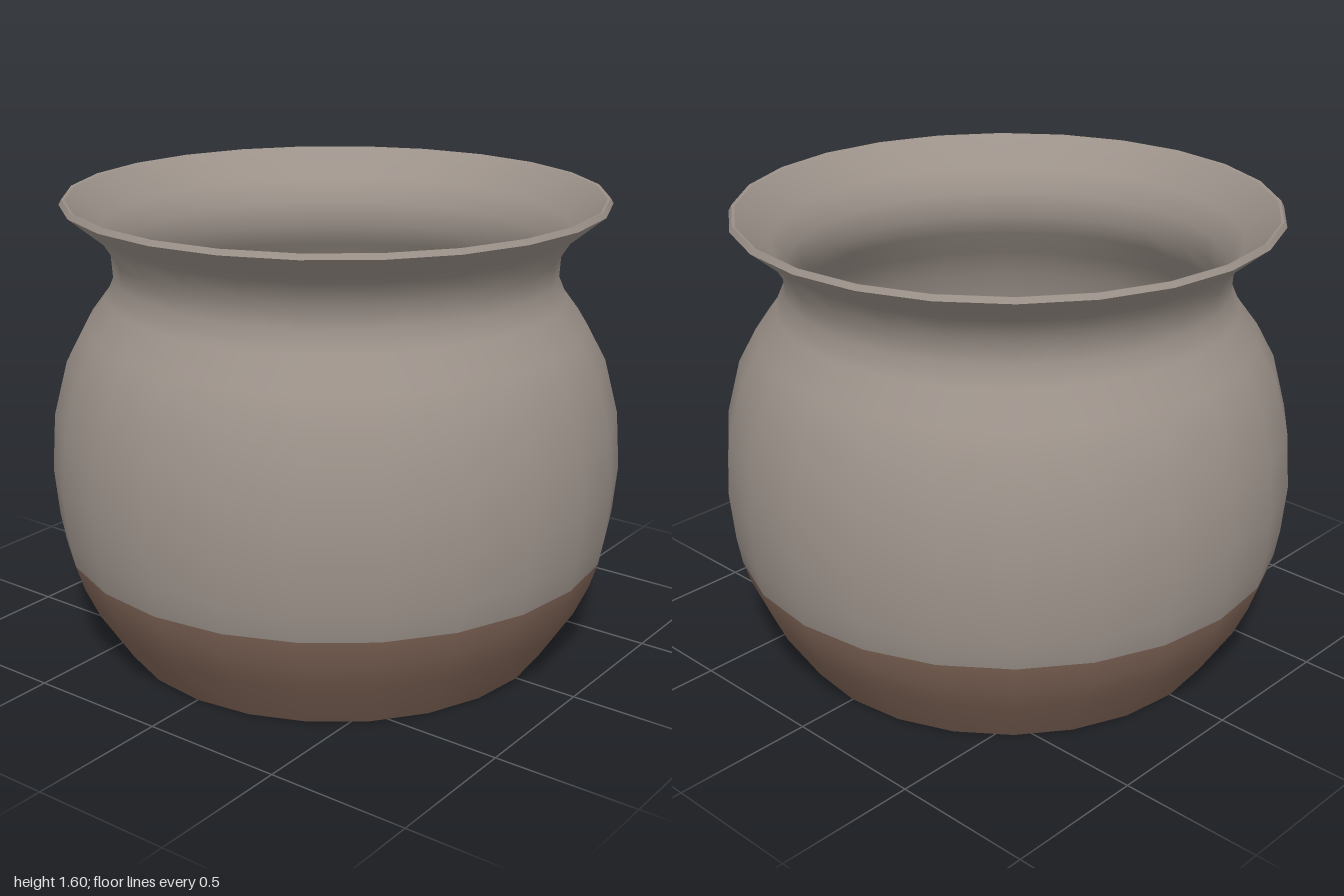
import * as THREE from 'three';

const SEGMENTS = 24;
const SPLIT = 3; // profile step where the dark base band ends

// Outer wall [radius, height], bottom to top
const outer = [
  [0.775, 0], [0.89, 0.18], [0.94, 0.29], [0.968, 0.38], [0.985, 0.48],
  [1.0, 0.65], [0.985, 0.85], [0.935, 1.04], [0.87, 1.16], [0.795, 1.26],
  [0.765, 1.33], [0.77, 1.41], [0.82, 1.49], [0.935, 1.585],
];

// Inner wall, top to bottom, a thin wall inside the outer one
const inner = [
  [0.915, 1.6], [0.8, 1.5], [0.747, 1.42], [0.742, 1.33], [0.775, 1.25],
  [0.85, 1.15], [0.915, 1.03], [0.963, 0.85], [0.978, 0.65], [0.963, 0.48],
  [0.946, 0.38], [0.918, 0.29], [0.868, 0.18], [0.755, 0],
];

function lathe(points) {
  return new THREE.LatheGeometry(points.map(([r, y]) => new THREE.Vector2(r, y)), SEGMENTS);
}

// Keep only the profile steps from..to, so the smooth normals run across the split
function bandOf(geometry, steps, from, to) {
  const band = geometry.clone();
  const kept = [];
  const index = geometry.index.array;
  for (let quad = 0; quad < index.length / 6; quad++) {
    const step = quad % steps;
    if (step >= from && step < to) kept.push(...index.slice(quad * 6, quad * 6 + 6));
  }
  band.setIndex(kept);
  return band;
}

export function createModel() {
  const clay = new THREE.MeshStandardMaterial({ color: 0x9c928a });
  clay.name = 'greyClay';
  const brown = new THREE.MeshStandardMaterial({ color: 0x7f6456 });
  brown.name = 'brownClay';

  const pot = new THREE.Group();
  pot.name = 'pot';
  const add = (name, geometry, material) => {
    const mesh = new THREE.Mesh(geometry, material);
    mesh.name = name;
    pot.add(mesh);
  };

  // Outer wall in two colours
  const wall = lathe(outer);
  const steps = outer.length - 1;
  add('baseBand', bandOf(wall, steps, 0, SPLIT), brown);
  add('body', bandOf(wall, steps, SPLIT, steps), clay);

  // Bevelled lip, open inside and the ring the pot stands on
  add('lipEdge', lathe([outer[steps], [0.925, 1.603]]), clay);
  add('lipTop', lathe([[0.925, 1.603], inner[0]]), clay);
  add('innerWall', lathe(inner), clay);
  add('footRing', lathe([inner[inner.length - 1], outer[0]]), brown);

  return pot;
}
